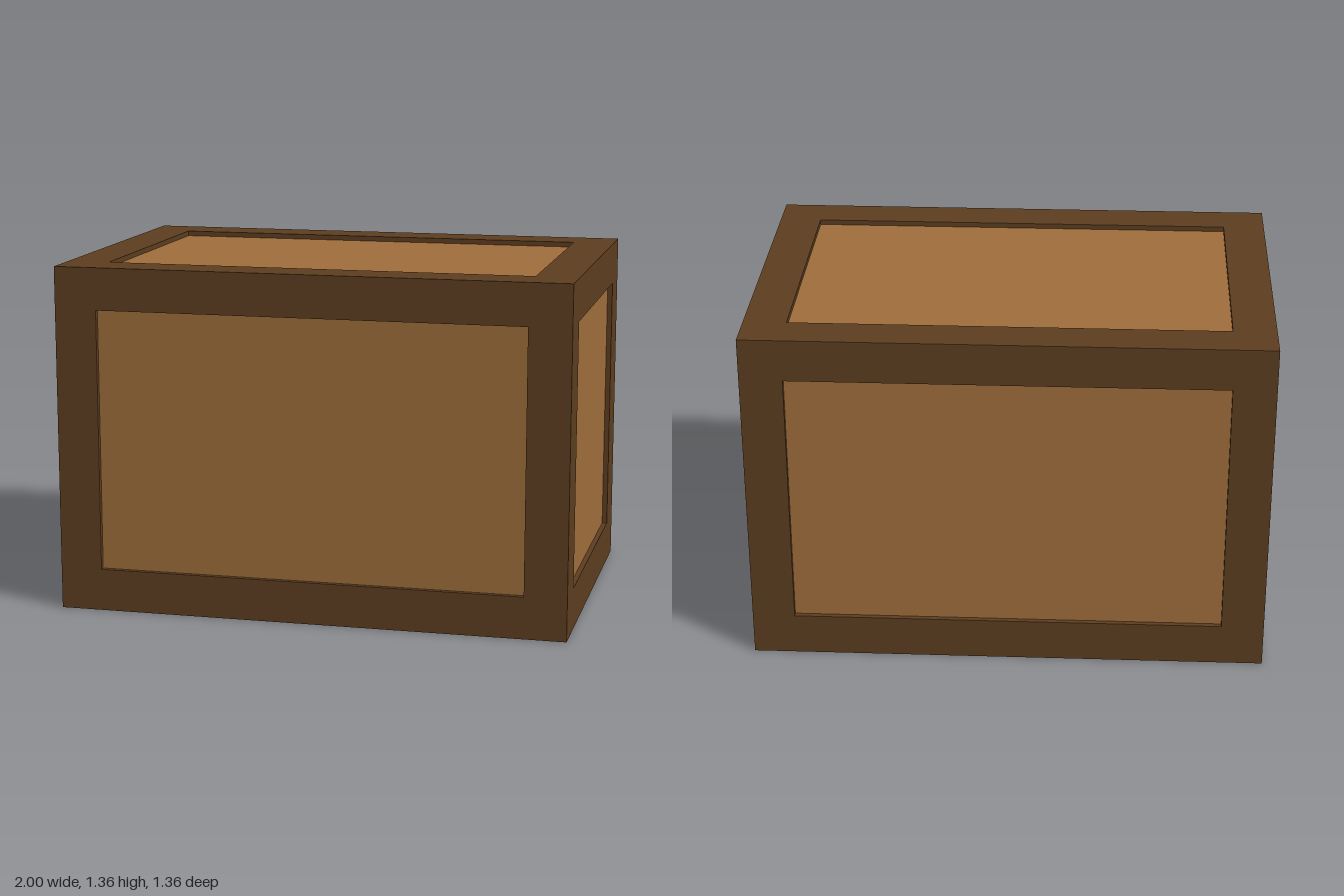
import * as THREE from 'three';

const W = 2, H = 1.355, D = 1.355; // outer size
const T = 0.165; // beam thickness
const RECESS = 0.02; // depth of the panels behind the frame

export function createModel() {
  const frameWood = new THREE.MeshStandardMaterial({ color: 0x5d3e20 });
  frameWood.name = 'darkFrameWood';
  const panelWood = new THREE.MeshStandardMaterial({ color: 0xa06e3c });
  panelWood.name = 'lightPanelWood';

  const crate = new THREE.Group();
  crate.name = 'crate';

  const addBox = (parent, name, material, size, position) => {
    const mesh = new THREE.Mesh(new THREE.BoxGeometry(...size), material);
    mesh.name = name;
    mesh.position.set(...position);
    parent.add(mesh);
  };

  // Panelled body, set slightly behind the frame on all six sides
  addBox(crate, 'panels', panelWood,
    [W - 2 * RECESS, H - 2 * RECESS, D - 2 * RECESS], [0, H / 2, 0]);

  // Frame: four beams along each axis, rails butting against the corner posts
  const frame = new THREE.Group();
  frame.name = 'frame';
  crate.add(frame);
  const x = (W - T) / 2, y = (H - T) / 2, z = (D - T) / 2;
  for (const a of [-1, 1]) {
    for (const b of [-1, 1]) {
      addBox(frame, 'cornerPost', frameWood, [T, H, T], [a * x, H / 2, b * z]);
      addBox(frame, 'longRail', frameWood, [W - 2 * T, T, T], [0, H / 2 + a * y, b * z]);
      addBox(frame, 'shortRail', frameWood, [T, T, D - 2 * T], [a * x, H / 2 + b * y, 0]);
    }
  }
  return crate;
}
